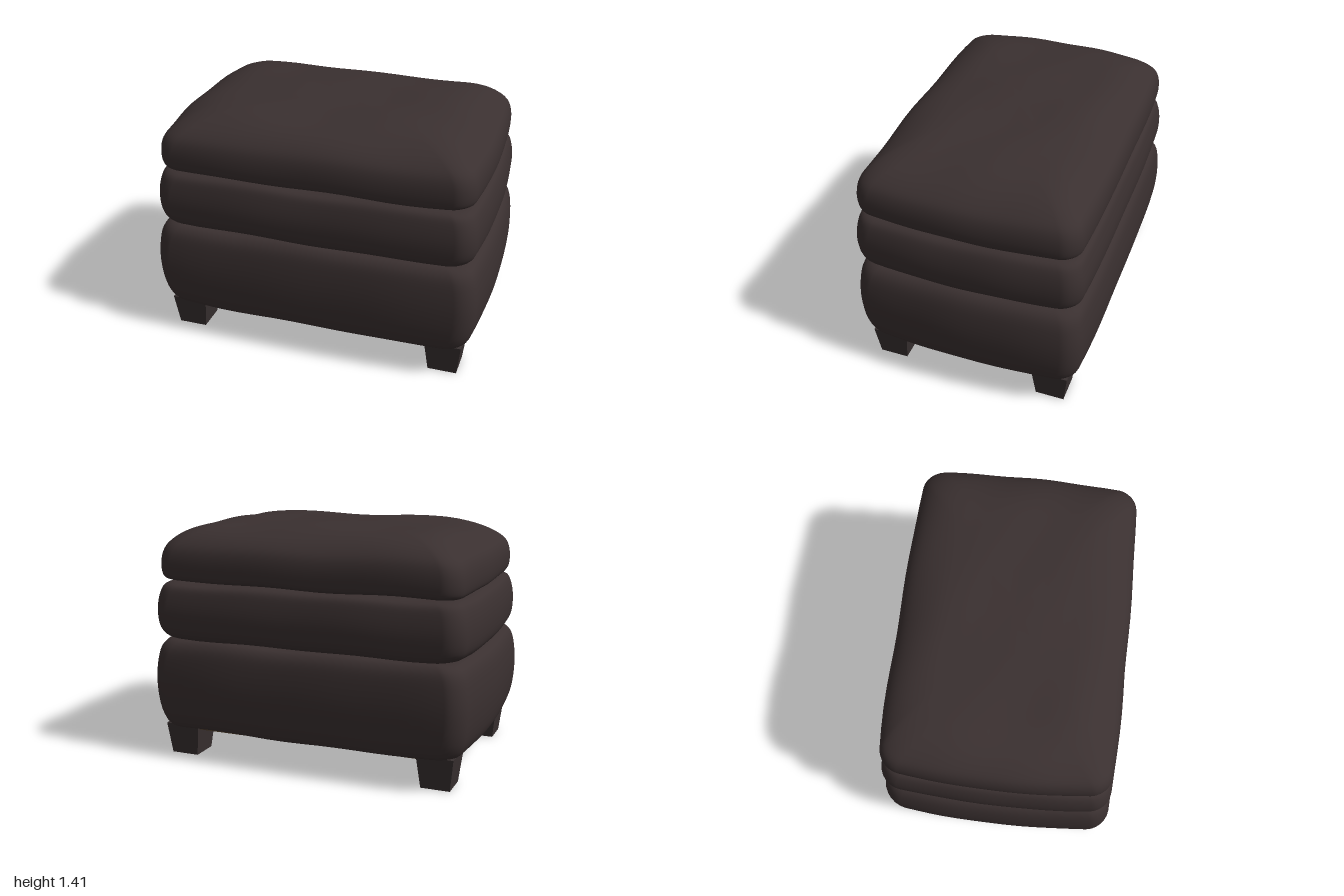
import * as THREE from 'three';

const CORNER = 6, SIDE = 14;

// Rounded-rectangle outline whose four sides bow outward in the middle
function outline(hx, hz) {
  const r = Math.min(0.1, hz * 0.4);
  const corners = [[1, 1, 0], [-1, 1, 1], [-1, -1, 2], [1, -1, 3]].map(([sx, sz, q]) => {
    const arc = [];
    for (let k = 0; k <= CORNER; k++) {
      const a = (q + k / CORNER) * Math.PI / 2;
      arc.push([sx * (hx - r) + r * Math.cos(a), sz * (hz - r) + r * Math.sin(a)]);
    }
    return arc;
  });
  const pts = [];
  corners.forEach((arc, i) => {
    pts.push(...arc);
    const a = arc[CORNER], b = corners[(i + 1) % 4][0];
    for (let k = 1; k < SIDE; k++) {
      const t = k / SIDE;
      pts.push([a[0] + (b[0] - a[0]) * t, a[1] + (b[1] - a[1]) * t]);
    }
  });
  return pts.map(([x, z]) => [
    x * (1 - 0.045 * (z / hz) ** 2),
    z * (1 - 0.035 * (x / hx) ** 4),
  ]);
}

// Upholstered block lofted through rows of [y, half width, half depth]
function cushion(rows, steps, seed) {
  const curve = new THREE.CatmullRomCurve3(rows.map((p) => new THREE.Vector3(...p)), false, 'centripetal');
  const pos = [], index = [];
  let n = 0;
  for (let i = 0; i <= steps; i++) {
    const p = curve.getPoint(i / steps);
    const ring = outline(p.y, p.z);
    n = ring.length;
    for (const [x, z] of ring) {
      // Soft leather ripples
      const w = 0.004 * Math.sin(x * 9 + z * 5 + seed) + 0.003 * Math.sin(z * 13 - x * 6 + seed * 2);
      pos.push(x * (1 + w * 0.5), p.x + w, z * (1 + w * 0.7));
    }
  }
  for (let i = 0; i < steps; i++) {
    for (let j = 0; j < n; j++) {
      const a = i * n + j, b = i * n + (j + 1) % n, c = a + n, d = b + n;
      index.push(a, c, b, b, c, d);
    }
  }
  // Closing fans
  const bottom = pos.length / 3, top = bottom + 1, last = steps * n;
  pos.push(0, rows[0][0], 0, 0, rows[rows.length - 1][0], 0);
  for (let j = 0; j < n; j++) {
    const k = (j + 1) % n;
    index.push(bottom, j, k, top, last + k, last + j);
  }
  const g = new THREE.BufferGeometry();
  g.setAttribute('position', new THREE.Float32BufferAttribute(pos, 3));
  g.setIndex(index);
  g.computeVertexNormals();
  return g;
}

// Square foot, narrower at the floor
function footGeometry() {
  const g = new THREE.BoxGeometry(0.214, 0.19, 0.214);
  const p = g.attributes.position;
  for (let i = 0; i < p.count; i++) {
    if (p.getY(i) < 0) {
      p.setX(i, p.getX(i) * 0.79);
      p.setZ(i, p.getZ(i) * 0.79);
    }
  }
  g.translate(0, 0.095, 0);
  g.computeVertexNormals();
  return g;
}

export function createModel() {
  const leather = new THREE.MeshStandardMaterial({ color: 0x3a3030 });
  leather.name = 'dark brown leather';
  const wood = new THREE.MeshStandardMaterial({ color: 0x383030 });
  wood.name = 'dark wood';
  const lining = new THREE.MeshStandardMaterial({ color: 0x52402c });
  lining.name = 'brown lining';

  const model = new THREE.Group();
  model.name = 'footstool';
  const add = (name, geometry, material) => {
    const mesh = new THREE.Mesh(geometry, material);
    mesh.name = name;
    model.add(mesh);
    return mesh;
  };

  // Three stacked upholstered layers
  add('base', cushion([
    [0.178, 0.8, 0.54], [0.178, 0.91, 0.62], [0.2, 0.945, 0.65], [0.28, 0.978, 0.678],
    [0.45, 0.997, 0.693], [0.6, 0.986, 0.685], [0.67, 0.965, 0.67],
    [0.705, 0.935, 0.645], [0.718, 0.89, 0.61], [0.718, 0.75, 0.48],
  ], 36, 0), leather);
  add('middleLayer', cushion([
    [0.724, 0.75, 0.48], [0.724, 0.89, 0.61], [0.738, 0.935, 0.645], [0.78, 0.963, 0.668],
    [0.88, 0.974, 0.679], [0.98, 0.962, 0.668], [1.035, 0.938, 0.65],
    [1.056, 0.89, 0.61], [1.056, 0.75, 0.48],
  ], 32, 1.7), leather);
  add('topCushion', cushion([
    [1.066, 0.75, 0.48], [1.066, 0.88, 0.6], [1.082, 0.935, 0.645], [1.12, 0.948, 0.656],
    [1.2, 0.946, 0.656], [1.26, 0.925, 0.64], [1.31, 0.875, 0.6], [1.355, 0.795, 0.53],
    [1.388, 0.68, 0.43], [1.402, 0.5, 0.3], [1.407, 0.25, 0.14],
  ], 44, 3.1), leather);

  // Underside panel
  const panel = add('undersidePanel', new THREE.BoxGeometry(1.74, 0.008, 1.17), lining);
  panel.position.y = 0.17;

  // Four feet
  const foot = footGeometry();
  for (const sx of [1, -1]) {
    for (const sz of [1, -1]) {
      const name = (sz > 0 ? 'front' : 'back') + (sx > 0 ? 'Left' : 'Right') + 'Foot';
      add(name, foot, wood).position.set(sx * 0.79, 0, sz * 0.497);
    }
  }
  return model;
}
